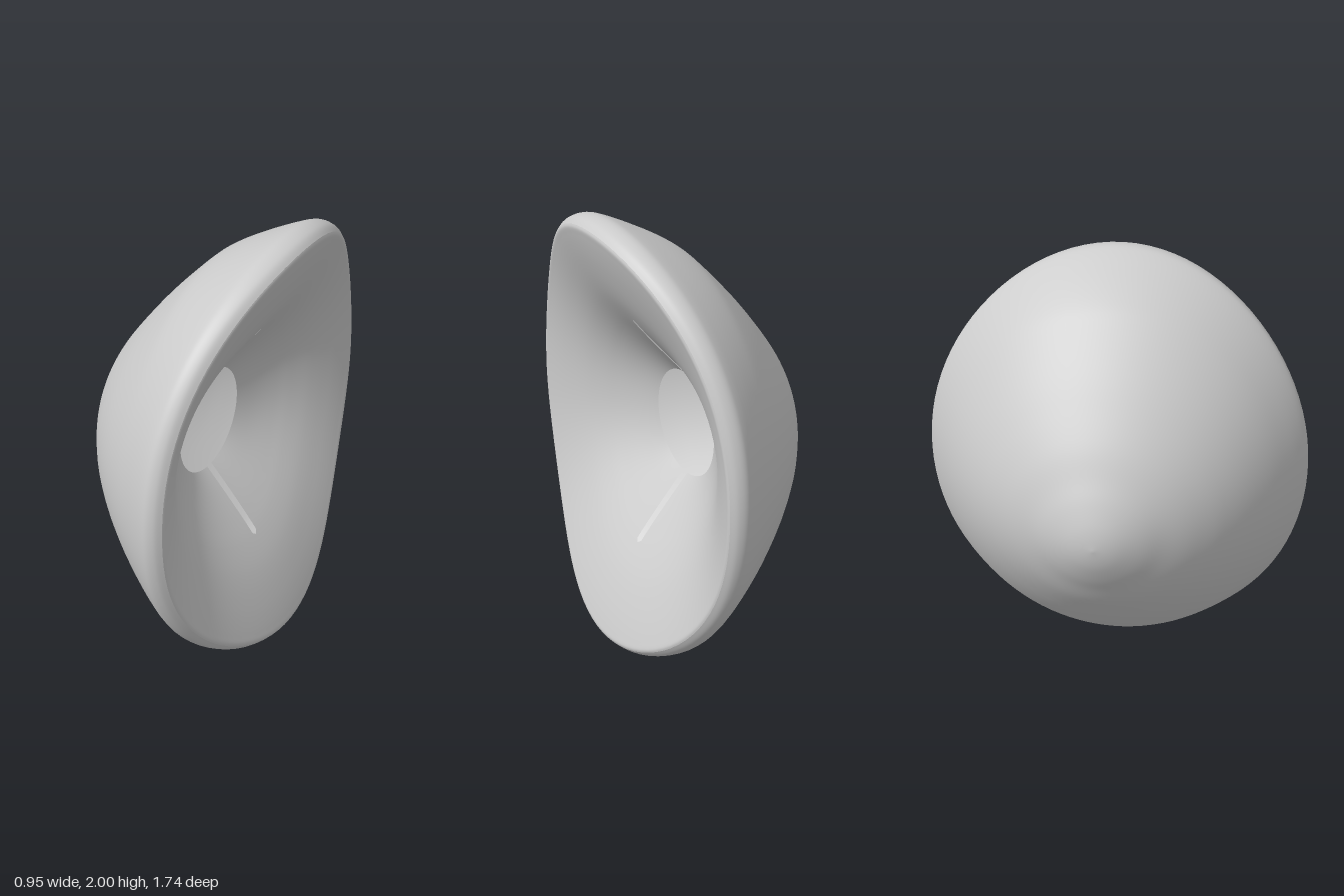
import * as THREE from 'three';
import { mergeVertices } from 'three/addons/utils/BufferGeometryUtils.js';

const SEG = 48; // steps per half turn
const { smoothstep } = THREE.MathUtils;

// Skin swept round the x axis. Each profile point is (relative radius, depth);
// point(r, x, angle) shapes it, and start(r) leaves a slit at top and bottom.
function sweep(profile, rows, point, start = () => 0) {
  const pos = [], index = [];
  const pts = new THREE.SplineCurve(profile.map(p => new THREE.Vector2(...p))).getPoints(rows);
  for (const half of [0, 1]) {
    const base = pos.length / 3;
    pts.forEach(p => {
      const a0 = start(p.x);
      for (let j = 0; j <= SEG; j++) {
        const a = half * Math.PI + a0 + (Math.PI - 2 * a0) * j / SEG;
        pos.push(...point(p.x, p.y, a));
      }
    });
    for (let i = 0; i < pts.length - 1; i++) {
      for (let j = 0; j < SEG; j++) {
        const a = base + i * (SEG + 1) + j, b = a + SEG + 1;
        index.push(a, b, a + 1, b, b + 1, a + 1);
      }
    }
  }
  let geo = new THREE.BufferGeometry();
  geo.setAttribute('position', new THREE.Float32BufferAttribute(pos, 3));
  geo.setIndex(index);
  geo = mergeVertices(geo, 1e-4);
  geo.computeVertexNormals();
  return geo;
}

export function createModel() {
  const group = new THREE.Group();
  const material = new THREE.MeshStandardMaterial({ color: 0xcccccc, side: THREE.DoubleSide });
  const add = (name, geo) => {
    const mesh = new THREE.Mesh(geo, material);
    mesh.name = name;
    group.add(mesh);
  };
  // The rim reaches further forward at top and bottom
  const reach = a => 0.16 * Math.abs(Math.cos(a)) ** 3;

  // Domed outer shell, round at the back and oval towards the rim
  const outer = [[0, -0.48], [0.06, -0.472], [0.12, -0.455], [0.2, -0.42], [0.28, -0.375],
    [0.4, -0.305], [0.54, -0.2], [0.65, -0.11], [0.77, 0], [0.87, 0.1], [0.94, 0.17],
    [0.985, 0.22], [1, 0.25], [0.99, 0.285], [0.965, 0.31]];
  add('outerShell', sweep(outer, 70, (r, x, a) => {
    const squash = x > 0.25 ? 0.87 : 1 - 0.26 * Math.max(0, r - 0.5);
    return [x + reach(a) * smoothstep(x, 0.05, 0.31), 1 + r * Math.cos(a), squash * r * Math.sin(a)];
  }));

  // Inner cup with a round opening and a narrow slit above and below it
  const inner = [[0.965, 0.31], [0.95, 0.313], [0.92, 0.305], [0.87, 0.29], [0.8, 0.268],
    [0.7, 0.235], [0.62, 0.205], [0.53, 0.165], [0.45, 0.125], [0.35, 0.075], [0.245, 0.025]];
  add('innerCup', sweep(inner, 70, (r, x, a) => {
    const squash = 1 - 0.13 * smoothstep(r, 0.3, 0.9);
    const lift = 1 - ((0.965 - r) / 0.72) ** 2;
    return [x + reach(a) * lift, 1 + r * Math.cos(a), squash * r * Math.sin(a)];
  }, r => (r <= 0.535 ? Math.asin(0.018 / r) : 0)));

  return group;
}
